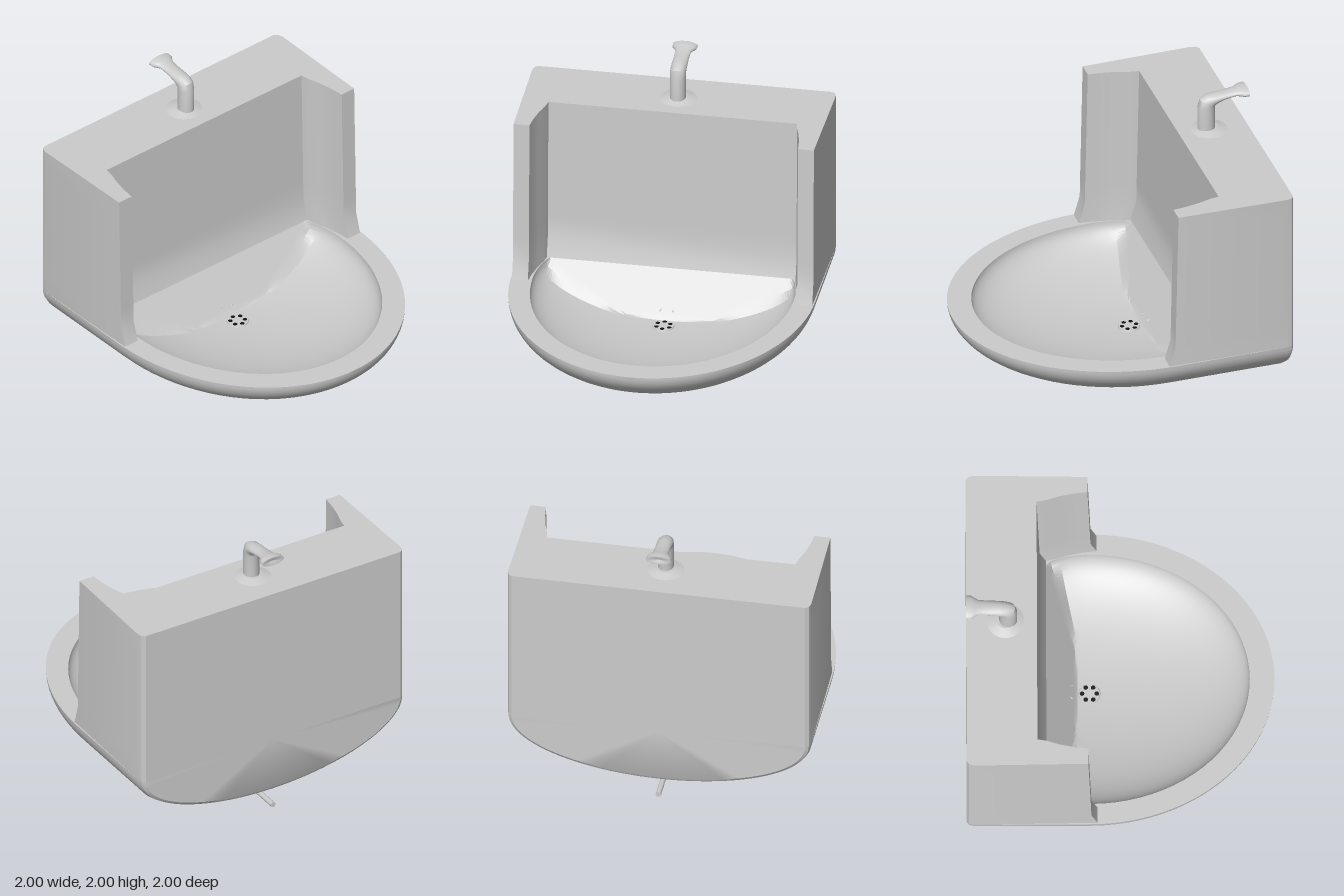
import * as THREE from 'three';
import { toCreasedNormals } from 'three/addons/utils/BufferGeometryUtils.js';

const grey = new THREE.MeshStandardMaterial({ color: 0xcccccc });
const dark = new THREE.MeshStandardMaterial({ color: 0x111111 });
const RIM = 0.597, MID = -0.2, BACK = -0.48;

function add(group, name, geometry, material = grey) {
  const mesh = new THREE.Mesh(geometry, material);
  mesh.name = name;
  group.add(mesh);
  return mesh;
}

// Skins a list of rings that all have the same number of points
function loft(rings, crease = 0.6) {
  const n = rings[0].length, index = [];
  for (let i = 0; i < rings.length - 1; i++) {
    for (let j = 0; j < n - 1; j++) {
      const a = i * n + j, c = a + n;
      index.push(a, c, a + 1, a + 1, c, c + 1);
    }
  }
  const g = new THREE.BufferGeometry();
  g.setAttribute('position', new THREE.Float32BufferAttribute(rings.flat(2), 3));
  g.setIndex(index);
  return toCreasedNormals(g, crease);
}

const sweep = (count, span, f) => Array.from({ length: count + 1 }, (_, i) => f(span * i / count));

// Inner bowl outline: an oval cut straight along the back
function innerOutline(t) {
  const s = Math.sin(t);
  return [0.86 * Math.cos(t), Math.max(BACK, MID + s * (s > 0 ? 1.04 : 0.8))];
}

function bowlHeight(x, z) {
  const dz = (z - MID) / (z > MID ? 1.04 : 0.8);
  const bowl = RIM - 0.28 * Math.sqrt(Math.max(0, 1 - (x / 0.86) ** 2 - dz * dz));
  const backSlope = RIM - (z - BACK) * 1.4;
  return Math.max(bowl, backSlope);
}

function basin() {
  const g = new THREE.Group();
  g.name = 'basin';

  // Underside: half-oval sections from the rounded back edge to the front tip
  const section = (w, d, z) => sweep(48, Math.PI, t => [w * Math.cos(t), RIM - d * Math.sin(t), z]);
  const rings = [section(0, 0, -1), section(0.968, 0.365, -1), section(0.99, 0.388, -0.985), section(1, 0.4, -0.95)];
  rings.push(...sweep(24, Math.PI / 2, t => section(Math.cos(t), 0.4 * Math.cos(t), MID + 1.2 * Math.sin(t))));
  add(g, 'outerShell', loft(rings));

  // Flat rim with the bowl opening
  const outer = sweep(64, Math.PI, t => new THREE.Vector2(Math.cos(t), -(MID + 1.2 * Math.sin(t))));
  outer.push(new THREE.Vector2(-1, 0.7), new THREE.Vector2(1, 0.7));
  const rim = new THREE.Shape(outer);
  rim.holes.push(new THREE.Path(sweep(80, Math.PI * 2, t => {
    const [x, z] = innerOutline(t);
    return new THREE.Vector2(x, -z);
  }).slice(0, -1)));
  add(g, 'rim', new THREE.ShapeGeometry(rim).rotateX(-Math.PI / 2).translate(0, RIM, 0));

  // Bowl interior
  add(g, 'bowl', loft(sweep(28, Math.PI / 2, u => {
    const r = Math.cos(u);
    return sweep(80, Math.PI * 2, t => {
      const [bx, bz] = innerOutline(t);
      const x = bx * r, z = MID + (bz - MID) * r;
      return [x, bowlHeight(x, z), z];
    });
  }), 0.4));
  return g;
}

// U-shaped upright: thick back panel with a curved cheek on each side
function splashback() {
  const half = [[0.968, -1], [0.99, -0.985], [1, -0.95], [0.99, -0.21], [0.885, -0.21],
    [0.875, -0.3], [0.855, -0.4], [0.83, -0.48], [0.82, -0.54]];
  const points = half.concat(half.map(([x, z]) => [-x, z]).reverse());
  const shape = new THREE.Shape(points.map(([x, z]) => new THREE.Vector2(x, -z)));
  const geo = new THREE.ExtrudeGeometry(shape, { depth: 1.12, steps: 8, bevelEnabled: false });
  geo.rotateX(-Math.PI / 2).translate(0, RIM, 0);
  // The front faces lean slightly and flare out where they meet the rim
  const p = geo.attributes.position;
  for (let i = 0; i < p.count; i++) {
    if (p.getZ(i) < -0.7) continue;
    const h = p.getY(i) - RIM;
    const flare = h < 0.14 ? 0.06 - 0.04 * h / 0.14 : 0.02 * (1.12 - h) / 0.98;
    p.setZ(i, p.getZ(i) + flare);
  }
  return toCreasedNormals(geo, 0.5);
}

function drain() {
  const g = new THREE.Group();
  g.name = 'drain';
  const y = bowlHeight(0, MID) + 0.004;
  const plate = add(g, 'strainerPlate', new THREE.CylinderGeometry(0.068, 0.072, 0.01, 32));
  plate.position.set(0, y, MID);
  for (let i = 0; i < 6; i++) {
    const a = Math.PI / 2 + i * Math.PI / 3;
    const hole = add(g, 'strainerHole', new THREE.CircleGeometry(0.015, 16).rotateX(-Math.PI / 2), dark);
    hole.position.set(0.048 * Math.cos(a), y + 0.0065, MID + 0.048 * Math.sin(a));
  }
  // Overflow lip on the sloping back of the bowl
  const lip = add(g, 'overflowLip', new THREE.TorusGeometry(0.045, 0.006, 8, 20, Math.PI));
  lip.rotation.x = -0.95;
  lip.scale.y = 0.7;
  lip.position.set(0, bowlHeight(0, -0.31) + 0.003, -0.31);

  // Trap below the basin and its waste pipe
  const profile = [[0, 0], [0.078, 0], [0.082, 0.012], [0.082, 0.055], [0.102, 0.058], [0.102, 0.07],
    [0.07, 0.142], [0.052, 0.145], [0.052, 0.23]].map(([r, h]) => new THREE.Vector2(r, h));
  const trap = add(g, 'trap', toCreasedNormals(new THREE.LatheGeometry(profile, 32), 0.5));
  trap.position.z = -0.17;
  const pipe = add(g, 'wastePipe', new THREE.CylinderGeometry(0.018, 0.018, 0.8, 16).rotateX(Math.PI / 2));
  pipe.position.set(0, 0.092, -0.6);
  return g;
}

function faucet() {
  const g = new THREE.Group();
  g.name = 'faucet';
  const flange = add(g, 'flange', new THREE.CylinderGeometry(0.06, 0.125, 0.018, 32));
  flange.position.set(0, 1.725, -0.745);
  // Each section: y, z, heading (0 up, 1 backward), half width, half height
  const sections = [
    [1.71, -0.727, 0, 0.052, 0.058], [1.89, -0.727, 0, 0.052, 0.058], [1.922, -0.735, 0.3, 0.052, 0.058],
    [1.935, -0.755, 0.6, 0.052, 0.048], [1.946, -0.79, 0.85, 0.052, 0.034], [1.958, -0.85, 0.95, 0.05, 0.025],
    [1.968, -0.92, 1, 0.052, 0.021], [1.97, -0.945, 1, 0.066, 0.027], [1.97, -0.965, 1, 0.08, 0.03],
    [1.97, -1, 1, 0.082, 0.03], [1.97, -1, 1, 0.065, 0.02], [1.968, -0.985, 1, 0, 0]];
  add(g, 'spout', loft(sections.map(([y, z, turn, w, h]) => {
    const a = turn * Math.PI / 2;
    return sweep(24, Math.PI * 2, t => [w * Math.cos(t),
      y + h * Math.sin(t) * Math.sin(a), z + h * Math.sin(t) * Math.cos(a)]);
  }), 0.7));
  return g;
}

export function createModel() {
  const model = new THREE.Group();
  model.name = 'washbasin';
  model.add(basin(), drain(), faucet());
  add(model, 'splashback', splashback());
  return model;
}
